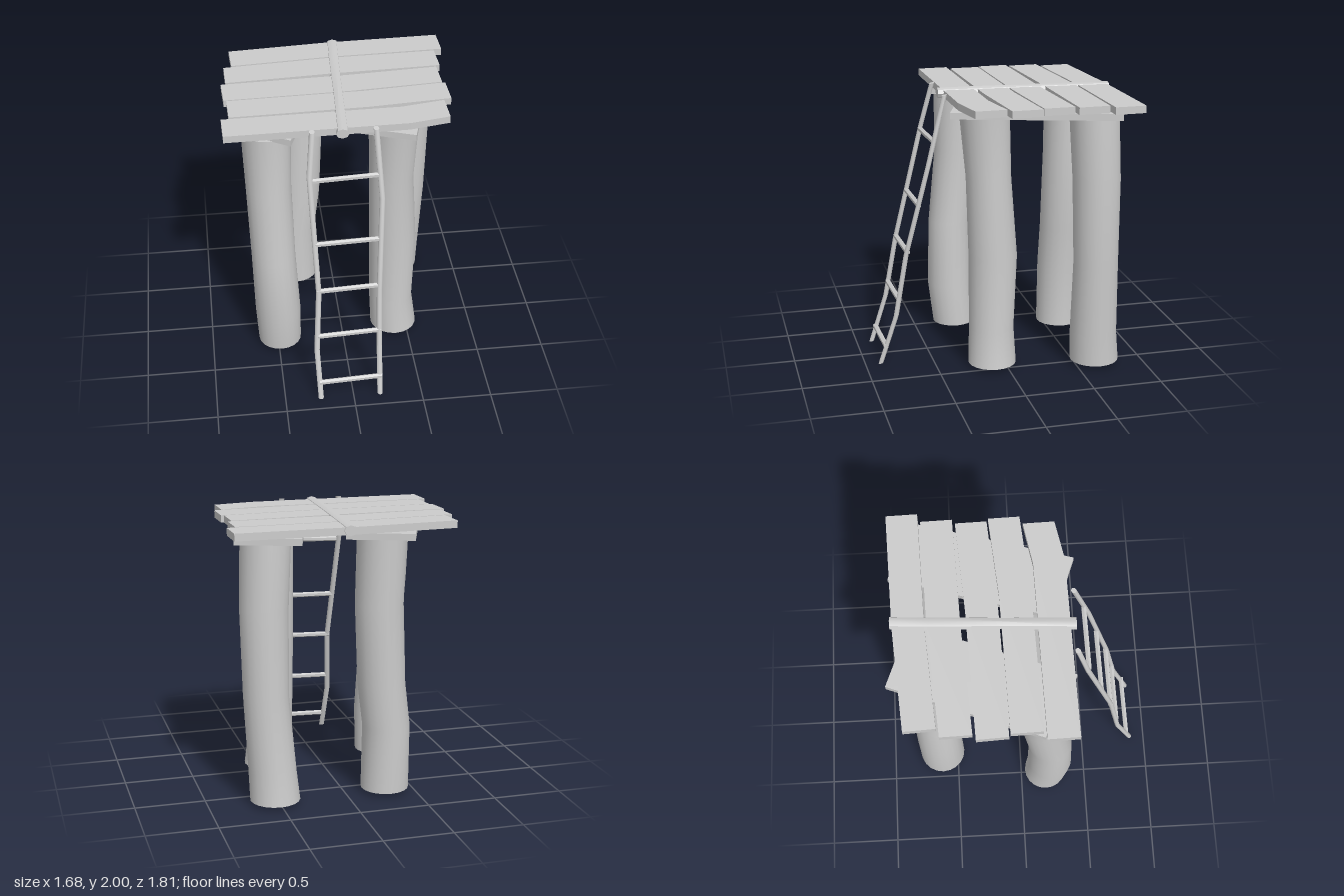
import * as THREE from 'three';
import { toCreasedNormals } from 'three/addons/utils/BufferGeometryUtils.js';

const material = new THREE.MeshStandardMaterial({ color: 0xcccccc });

function add(group, name, geometry) {
  const mesh = new THREE.Mesh(geometry, material);
  mesh.name = name;
  group.add(mesh);
  return mesh;
}

// Capped log: each ring is [centre, radius along u, radius along v]
function loft(rings, u, v, sides) {
  const pos = [], index = [];
  for (const [c, ru, rv] of rings) {
    for (let i = 0; i < sides; i++) {
      const a = (i / sides) * Math.PI * 2;
      const p = c.clone().addScaledVector(u, ru * Math.cos(a)).addScaledVector(v, rv * Math.sin(a));
      pos.push(p.x, p.y, p.z);
    }
  }
  for (let r = 0; r < rings.length - 1; r++) {
    for (let i = 0; i < sides; i++) {
      const j = (i + 1) % sides;
      const a = r * sides + i, b = r * sides + j, c = a + sides, d = b + sides;
      index.push(a, b, d, a, d, c);
    }
  }
  const last = (rings.length - 1) * sides;
  for (let i = 1; i < sides - 1; i++) {
    index.push(0, i + 1, i, last, last + i, last + i + 1);
  }
  const g = new THREE.BufferGeometry();
  g.setAttribute('position', new THREE.Float32BufferAttribute(pos, 3));
  g.setIndex(index);
  return toCreasedNormals(g, 0.7);
}

// Flat board from an outline of [x, z] corners
function board(outline, bottom, thickness) {
  const shape = new THREE.Shape(outline.map(([x, z]) => new THREE.Vector2(x, -z)));
  const g = new THREE.ExtrudeGeometry(shape, { depth: thickness, bevelEnabled: false });
  g.rotateX(-Math.PI / 2);
  g.translate(0, bottom, 0);
  return g;
}

const V = (x, y, z) => new THREE.Vector3(x, y, z);
const X = V(1, 0, 0), Y = V(0, 1, 0), Z = V(0, 0, 1);

export function createModel() {
  const model = new THREE.Group();
  model.name = 'treePlatform';

  // Four crooked log legs: rings of [x, y, z, radius]
  const legs = {
    frontRightLeg: [[-0.485, 0.03, 0.19, 0.16], [-0.495, 0.35, 0.22, 0.168], [-0.515, 0.85, 0.21, 0.16],
      [-0.53, 1.42, 0.15, 0.163], [-0.535, 1.885, 0.14, 0.175]],
    backRightLeg: [[-0.295, 0.03, -0.62, 0.172], [-0.30, 0.5, -0.625, 0.17], [-0.26, 0.82, -0.63, 0.17],
      [-0.235, 1.4, -0.64, 0.17], [-0.245, 1.885, -0.65, 0.172]],
    frontLeftLeg: [[0.405, 0.03, 0.095, 0.175], [0.38, 0.3, 0.095, 0.163], [0.385, 0.85, 0.085, 0.175],
      [0.36, 1.42, 0.11, 0.162], [0.365, 1.885, 0.14, 0.178]],
    backLeftLeg: [[0.525, 0.03, -0.65, 0.178], [0.54, 0.25, -0.635, 0.17], [0.58, 0.8, -0.63, 0.16],
      [0.585, 1.42, -0.62, 0.17], [0.565, 1.885, -0.6, 0.175]],
  };
  for (const [name, rings] of Object.entries(legs)) {
    add(model, name, loft(rings.map(([x, y, z, r]) => [V(x, y, z), r, r]), Z, X, 20));
  }

  // Support boards lying across each pair of legs
  add(model, 'supportBoardRight',
    board([[-0.4, -0.91], [-0.81, 0.14], [-0.6, 0.25], [-0.38, 0.38], [0.04, -0.74]], 1.88, 0.047));
  add(model, 'supportBoardLeft',
    board([[0.38, -0.88], [0.045, 0.25], [0.48, 0.41], [0.81, -0.73]], 1.88, 0.047));

  // Deck planks: back edge left to right, then front edge right to left
  const planks = [
    [[-0.74, -0.8], [0, -0.855], [0.835, -0.88], [0.84, -0.66], [0, -0.635], [-0.73, -0.58]],
    [[-0.79, -0.56], [0, -0.62], [0.78, -0.64], [0.785, -0.42], [0, -0.39], [-0.785, -0.34]],
    [[-0.82, -0.32], [0.1, -0.355], [0.755, -0.4], [0.76, -0.18], [0.1, -0.13], [-0.81, -0.1]],
    [[-0.79, -0.09], [0.2, -0.12], [0.78, -0.17], [0.785, 0.05], [0.2, 0.1], [-0.785, 0.13]],
    [[-0.84, 0.15], [0.42, 0.125], [0.73, 0.07], [0.735, 0.29], [0.45, 0.345], [-0.835, 0.37]],
  ];
  planks.forEach((p, i) => add(model, `deckPlank${i + 1}`, board([...p].reverse(), 1.933, 0.052)));

  // Flattened pole running over the planks
  const pole = [[-0.025, 0.395, 0.046], [0.0, -0.1, 0.042], [0.025, -0.6, 0.046], [0.042, -0.87, 0.046]];
  add(model, 'deckPole',
    loft(pole.map(([x, z, r]) => [V(x, 1.963, z), r, 0.037]), Y.clone().negate().cross(Z).negate(), Y.clone().negate(), 8));

  // Ladder rails
  const ladder = new THREE.Group();
  ladder.name = 'ladder';
  model.add(ladder);
  const rails = {
    ladderRailRight: [[-0.24, 0.008, 0.885], [-0.255, 0.37, 0.765], [-0.23, 0.83, 0.685], [-0.265, 1.68, 0.47], [-0.235, 1.992, 0.39]],
    ladderRailLeft: [[0.195, 0.008, 0.885], [0.2, 0.37, 0.765], [0.205, 0.83, 0.685], [0.237, 1.5, 0.517], [0.205, 1.992, 0.39]],
  };
  for (const [name, pts] of Object.entries(rails)) {
    add(ladder, name, loft(pts.map(([x, y, z]) => [V(x, y, z), 0.02, 0.02]), Z.clone().applyAxisAngle(X, 0.25), X, 10));
  }

  // Ladder rungs: [right height, left height, z]
  const rungs = [[0.125, 0.14, 0.85], [0.48, 0.495, 0.747], [0.84, 0.855, 0.678], [1.19, 1.2, 0.59], [1.65, 1.665, 0.477]];
  rungs.forEach(([yr, yl, z], i) => {
    const ends = [V(-0.245, yr, z + 0.004), V(0.215, yl, z - 0.004)];
    add(ladder, `ladderRung${i + 1}`, loft(ends.map((c) => [c, 0.019, 0.019]), Y, Z, 6));
  });
  return model;
}
